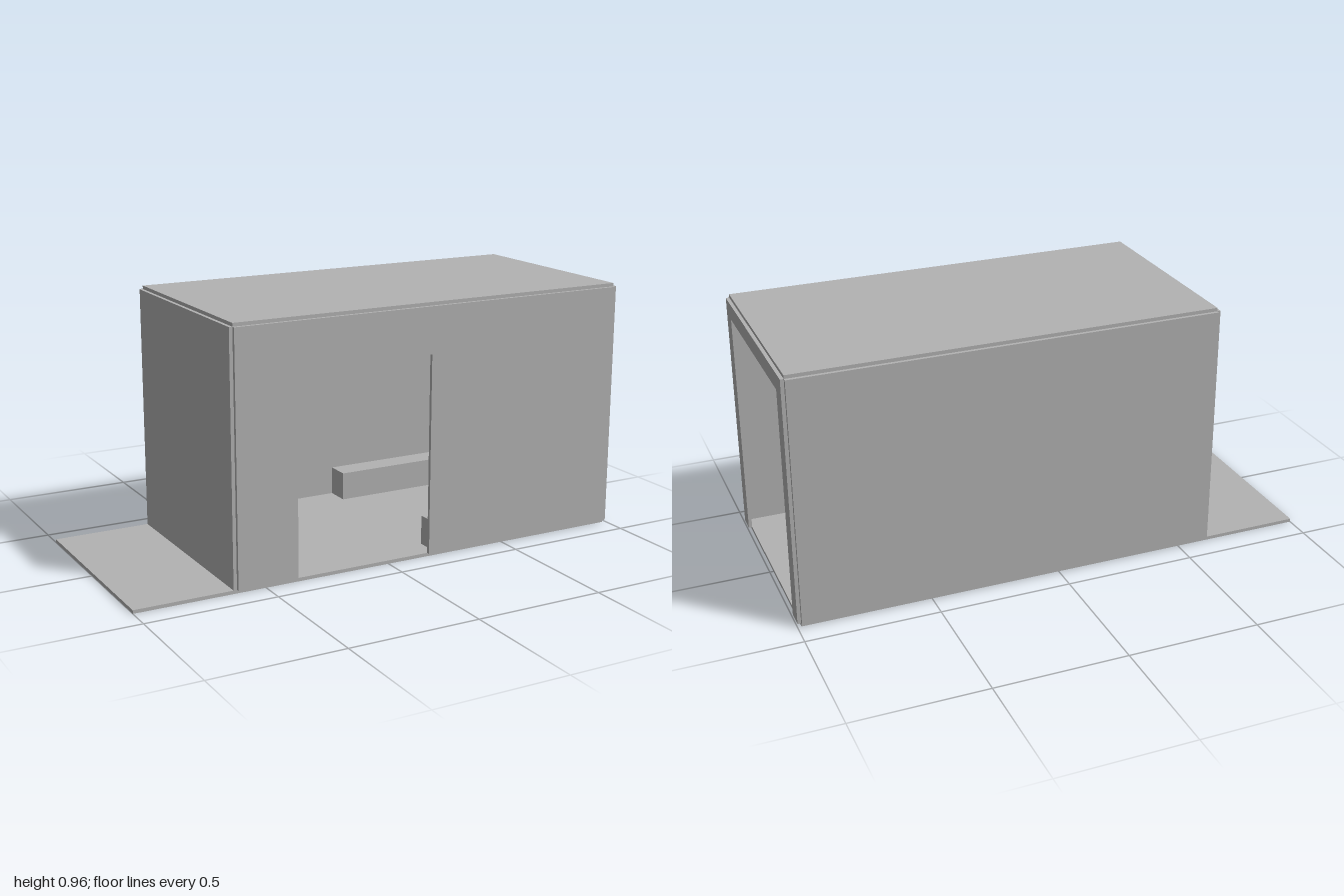
import * as THREE from 'three';

const T = 0.013;                      // panel thickness
const X0 = -0.613, X1 = 0.986;        // room ends
const D = 0.403;                      // half depth of the room
const Y0 = T, Y1 = 0.949;             // wall bottom and top

export function createModel() {
  const group = new THREE.Group();
  const grey = new THREE.MeshStandardMaterial({ color: 0xb2b2b2 });
  grey.name = 'panel grey';

  const add = (name, geometry) => {
    const mesh = new THREE.Mesh(geometry, grey);
    mesh.name = name;
    group.add(mesh);
    return mesh;
  };

  // Box given by its minimum and maximum corners
  const box = (name, [ax, ay, az], [bx, by, bz]) =>
    add(name, new THREE.BoxGeometry(bx - ax, by - ay, bz - az))
      .position.set((ax + bx) / 2, (ay + by) / 2, (az + bz) / 2);

  // Wall panel with a doorway that reaches down to the floor
  const doorwayPanel = (name, left, right, doorLeft, doorRight, doorTop) => {
    const points = [
      [left, Y0], [doorLeft, Y0], [doorLeft, doorTop], [doorRight, doorTop],
      [doorRight, Y0], [right, Y0], [right, Y1], [left, Y1],
    ].map(([x, y]) => new THREE.Vector2(x, y));
    return add(name, new THREE.ExtrudeGeometry(new THREE.Shape(points), { depth: T, bevelEnabled: false }));
  };

  // Floor runs on past the closed end as a porch
  box('floor', [-1, 0, -D], [X1, T, D]);
  box('roof', [X0, Y1, -D], [X1, Y1 + T, D]);

  // Solid walls
  box('backWall', [X0, Y0, -D - T], [X1, Y1, -D]);
  box('closedEndWall', [X0 - T, Y0, -D], [X0, Y1, D]);

  // Front wall with doorway, and the wide open end frame
  doorwayPanel('frontWall', X0, X1, -0.378, 0.167, 0.773).position.z = D;
  const frame = doorwayPanel('openEndFrame', -D, D, -0.338, 0.338, 0.887);
  frame.rotation.y = Math.PI / 2;
  frame.position.x = X1;

  // Low benches along both long walls
  box('backBench', [0.2, Y0, -D], [0.74, 0.125, -0.306]);
  box('frontBench', [0.2, Y0, 0.306], [0.74, 0.125, D]);

  return group;
}
